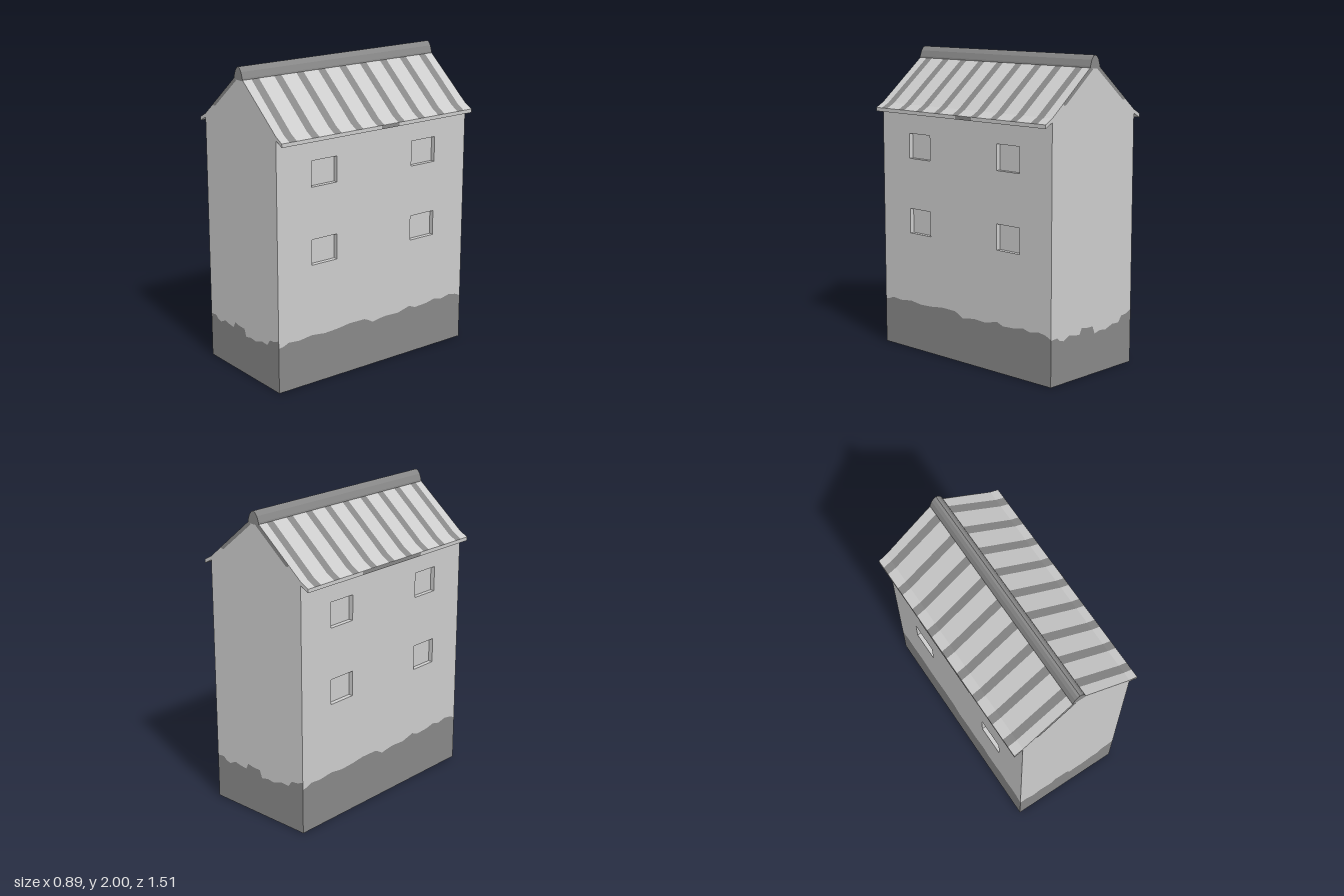
import * as THREE from 'three';

const HALF = 0.385, END = 0.755;

// Quads with corners counter-clockwise seen from outside
function quadMesh(name, quads, material) {
  const pos = [];
  for (const [a, b, c, d] of quads) pos.push(...a, ...b, ...c, ...a, ...c, ...d);
  const g = new THREE.BufferGeometry();
  g.setAttribute('position', new THREE.Float32BufferAttribute(pos, 3));
  g.computeVertexNormals();
  const m = new THREE.Mesh(g, material);
  m.name = name;
  return m;
}

function shapeMesh(name, points, material, holes = []) {
  const toPath = (p, C) => new C(p.map(([x, y]) => new THREE.Vector2(x, y)));
  const s = toPath(points, THREE.Shape);
  s.holes = holes.map(h => toPath(h, THREE.Path));
  const m = new THREE.Mesh(new THREE.ShapeGeometry(s), material);
  m.name = name;
  return m;
}

// Uneven top edge of the plinth, as [across, height]
const endEdge = [[-HALF, 0.295], [-0.33, 0.3], [-0.305, 0.28], [-0.27, 0.27], [-0.22, 0.295], [-0.17, 0.285],
  [-0.12, 0.28], [-0.1, 0.32], [-0.05, 0.31], [0.005, 0.31], [0.025, 0.26], [0.08, 0.272], [0.13, 0.265],
  [0.2, 0.288], [0.26, 0.285], [0.29, 0.325], [0.34, 0.33], [HALF, 0.35]];
const sideEdge = [[-END, 0.3], [-0.72, 0.305], [-0.68, 0.322], [-0.6, 0.315], [-0.5, 0.327], [-0.4, 0.315],
  [-0.3, 0.32], [-0.2, 0.332], [-0.08, 0.33], [-0.05, 0.318], [-0.01, 0.295], [0.05, 0.305], [0.1, 0.31],
  [0.2, 0.305], [0.3, 0.33], [0.35, 0.31], [0.45, 0.315], [0.52, 0.33], [0.58, 0.315], [0.65, 0.33],
  [0.71, 0.32], [END, 0.3]];

// Roof section from ridge to eave, fascia and back under to the wall
const roof = [[0, 1.94], [0.045, 1.925], [HALF, 1.645], [0.445, 1.612]];
const eave = [[0.445, 1.612], [0.445, 1.588], [HALF, 1.62]];

function roofStrip(profile, zA, zB) {
  const skew = x => 0.02 * (x - 0.245);
  const end = (z, x) => Math.abs(z) === END ? z : z + skew(x);
  const at = ([x, y], z) => [x, y, end(z, x)];
  return profile.slice(1).map((q, i) => {
    const p = profile[i];
    return [at(p, zB), at(q, zB), at(q, zA), at(p, zA)];
  });
}

function flatStrip(profile, zA, zB) {
  return profile.slice(1).map((q, i) => {
    const p = profile[i];
    return [[...p, zB], [...q, zB], [...q, zA], [...p, zA]];
  });
}

// Long wall facing +z locally, with recessed windows
function sideWall(light, dark) {
  const g = new THREE.Group();
  g.name = 'sideWall';
  const holes = [], recess = [], depth = 0.03;
  for (const u of [-0.4, 0.395]) for (const y of [0.79, 1.29]) {
    const w = 0.098, h = 0.165;
    const c = [[u - w, y], [u + w, y], [u + w, y + h], [u - w, y + h]];
    holes.push(c);
    c.forEach((a, i) => {
      const b = c[(i + 1) % 4];
      recess.push([[...a, 0], [...b, 0], [...b, -depth], [...a, -depth]]);
    });
    recess.push(c.map(p => [...p, -depth]));
  }
  g.add(shapeMesh('sideWallPanel', [...sideEdge, [END, 1.62], [-END, 1.62]], light, holes));
  g.add(shapeMesh('sidePlinth', [[-END, 0], [END, 0], ...sideEdge.slice().reverse()], dark));
  g.add(quadMesh('windowRecesses', recess, light));
  g.rotation.y = Math.PI / 2;
  g.position.x = HALF;
  return g;
}

// Gable wall including the ends of the roof
function gableWall(light, dark) {
  const g = new THREE.Group();
  g.name = 'gableWall';
  const right = [[HALF, 1.62], [0.445, 1.588], [0.445, 1.612], [HALF, 1.645], [0.045, 1.925]];
  const left = right.map(([x, y]) => [-x, y]).reverse();
  g.add(shapeMesh('gablePanel', [...endEdge, ...right, ...left], light));
  g.add(shapeMesh('gablePlinth', [[-HALF, 0], [HALF, 0], ...endEdge.slice().reverse()], dark));
  g.position.z = END;
  return g;
}

// Thin dark trim along the gable edge
function gableTrim(side, dark) {
  const p = [[-0.045, 1.925], [-0.29, 1.723], [-0.285, 1.712], [-0.265, 1.715], [-0.02, 1.915]];
  const m = shapeMesh('gableTrim', side < 0 ? p : p.map(([x, y]) => [-x, y]), dark);
  m.position.z = END + 0.002;
  return m;
}

function halfHouse(light, dark, fasciaFrom, fasciaTo) {
  const g = new THREE.Group();
  g.add(sideWall(light, dark), gableWall(light, dark), gableTrim(-1, dark));

  // Roof slope with nine slightly skewed stripes
  const pale = [], stripes = [];
  let z = -END;
  for (let i = 0; i < 9; i++) {
    const c = -0.664 + i * 0.1665;
    pale.push(...roofStrip(roof, z, c - 0.027));
    stripes.push(...roofStrip(roof, c - 0.027, c + 0.027));
    z = c + 0.027;
  }
  pale.push(...roofStrip(roof, z, END));
  g.add(quadMesh('roofSlope', pale, light), quadMesh('roofStripes', stripes, dark));

  // Eave with a dark patch on the fascia
  g.add(quadMesh('eave', flatStrip(eave, -END, END), light));
  const patch = [[0.447, 1.611], [0.447, 1.589]];
  g.add(quadMesh('fasciaPatch', flatStrip(patch, fasciaFrom, fasciaTo), dark));
  return g;
}

export function createModel() {
  const light = new THREE.MeshStandardMaterial({ color: 0xcccccc, side: THREE.DoubleSide });
  light.name = 'light grey';
  const dark = new THREE.MeshStandardMaterial({ color: 0x888888, side: THREE.DoubleSide });
  dark.name = 'dark grey';

  const model = new THREE.Group();
  model.name = 'house';
  const a = halfHouse(light, dark, -0.14, 0);
  a.name = 'frontLeftHalf';
  const b = halfHouse(light, dark, -0.27, 0.28);
  b.name = 'backRightHalf';
  b.add(gableTrim(1, dark));
  b.rotation.y = Math.PI;
  model.add(a, b);

  // Rounded ridge cap
  const r = [[0.047, 1.918], [0.045, 1.935], [0.032, 1.972], [0.015, 1.994], [0, 2]];
  const outline = [...r, ...r.slice(0, -1).reverse().map(([x, y]) => [-x, y])];
  const cap = new THREE.Mesh(new THREE.ExtrudeGeometry(
    new THREE.Shape(outline.map(([x, y]) => new THREE.Vector2(x, y))),
    { depth: 2 * END + 0.002, bevelEnabled: false }), dark);
  cap.name = 'ridgeCap';
  cap.position.z = -END - 0.001;
  model.add(cap);
  return model;
}
